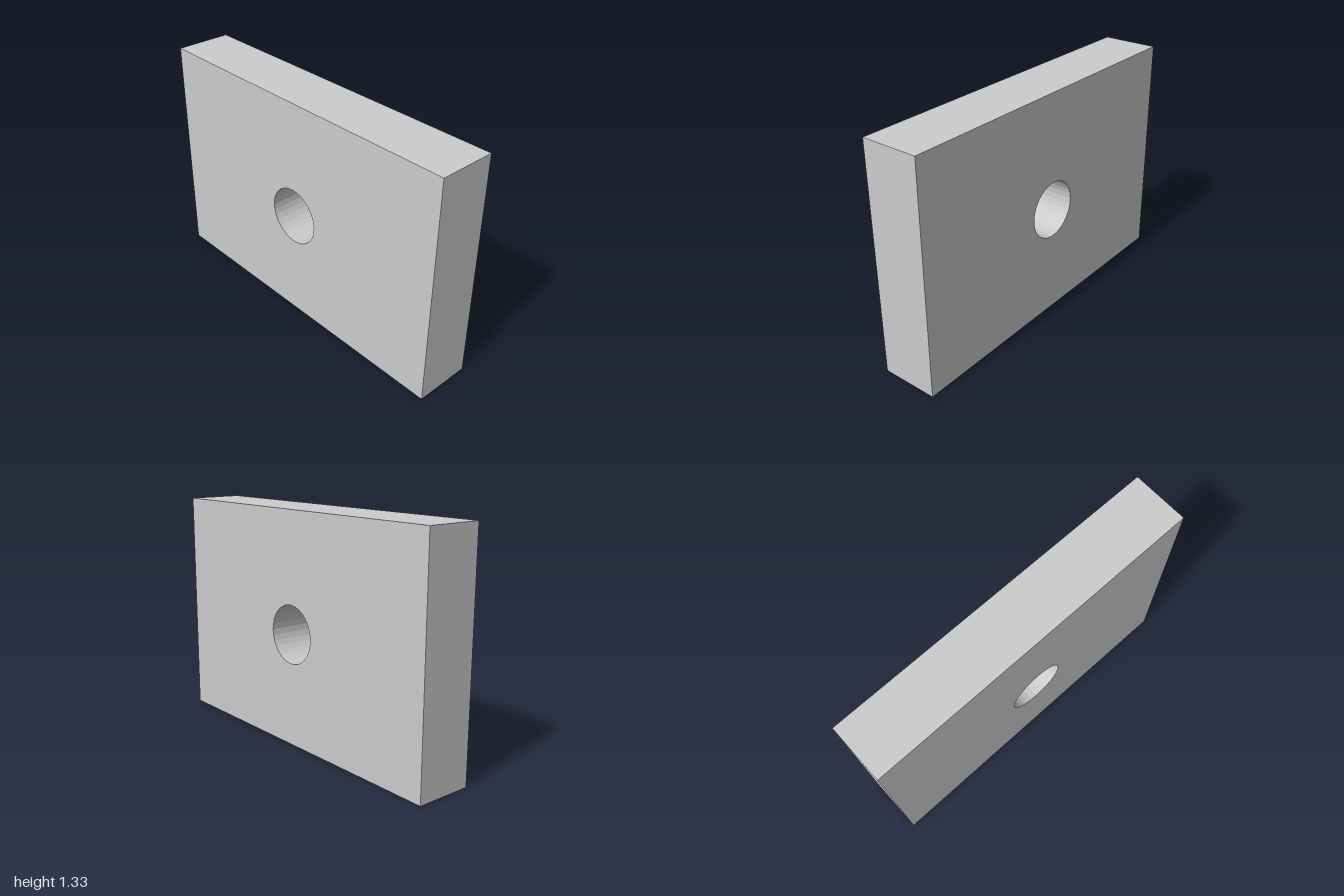
import * as THREE from 'three';

const WIDTH = 2, HEIGHT = 1.333, DEPTH = 0.33;
const HOLE_Y = 0.645, HOLE_RADIUS = 0.167;

export function createModel() {
  const model = new THREE.Group();
  model.name = 'drilledBlock';

  // Rectangular slab outline standing on y = 0
  const outline = new THREE.Shape();
  outline.moveTo(-WIDTH / 2, 0);
  outline.lineTo(WIDTH / 2, 0);
  outline.lineTo(WIDTH / 2, HEIGHT);
  outline.lineTo(-WIDTH / 2, HEIGHT);
  outline.closePath();

  // Round bore through the slab, front to back
  const bore = new THREE.Path();
  bore.absarc(0, HOLE_Y, HOLE_RADIUS, 0, Math.PI * 2, true);
  outline.holes.push(bore);

  const geometry = new THREE.ExtrudeGeometry(outline, {
    depth: DEPTH, bevelEnabled: false, curveSegments: 16,
  });
  geometry.translate(0, 0, -DEPTH / 2);

  const slab = new THREE.Mesh(
    geometry,
    new THREE.MeshStandardMaterial({ color: 0xcccccc, flatShading: true }),
  );
  slab.name = 'slabWithHole';
  model.add(slab);
  return model;
}
